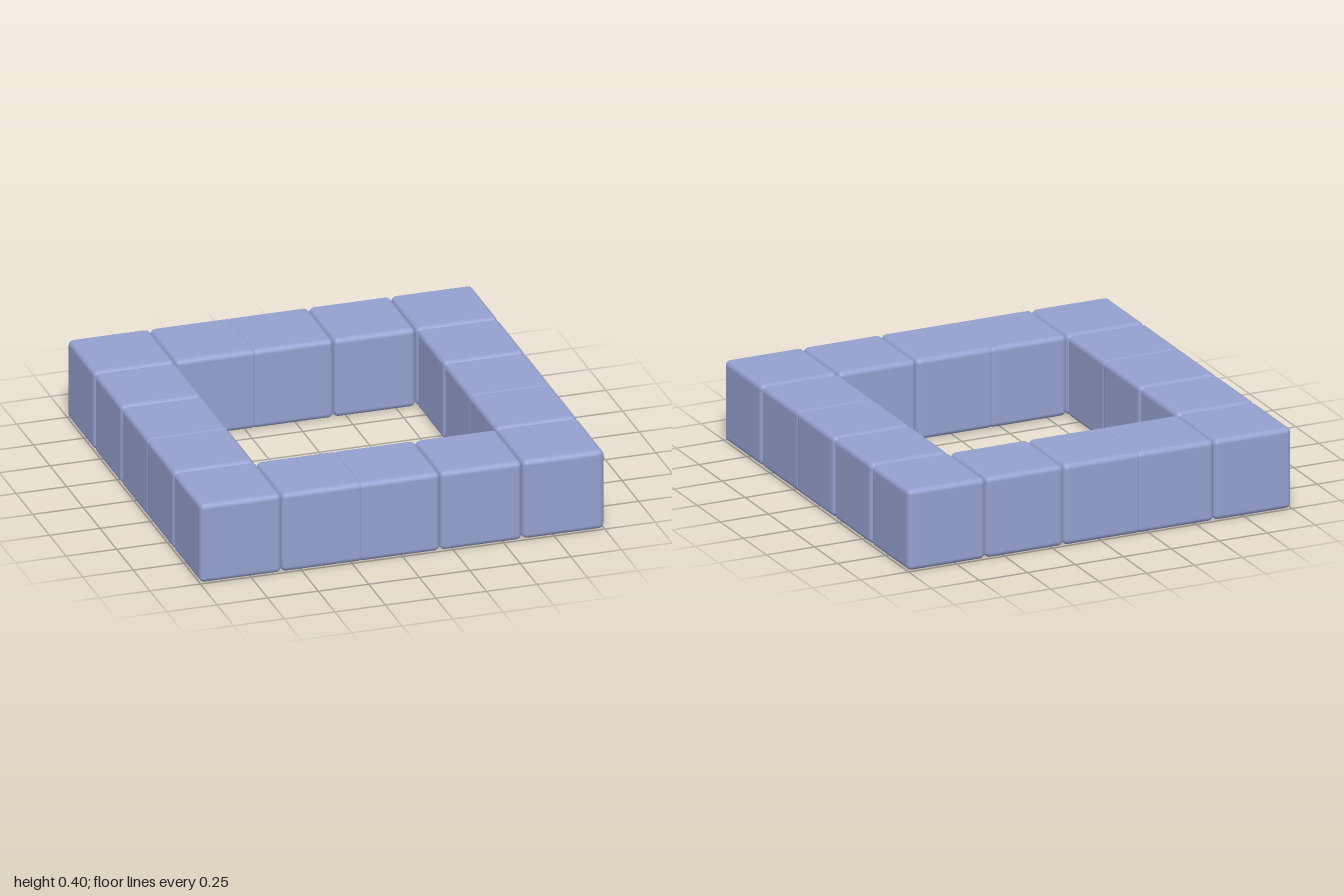
import * as THREE from 'three';
import { RoundedBoxGeometry } from 'three/addons/geometries/RoundedBoxGeometry.js';

export function createModel() {
  const model = new THREE.Group();
  model.name = 'squareBlockRing';

  const size = 0.404;
  const geometry = new RoundedBoxGeometry(size, size, size, 4, 0.026);
  const material = new THREE.MeshStandardMaterial({ color: 0x95a0d0 });

  // Block centres along a side; the middle block slightly overlaps one neighbour
  const xs = [-0.798, -0.394, -0.014, 0.391, 0.798];
  const zs = [-0.798, -0.391, 0.014, 0.394, 0.798];

  // Sixteen blocks around the border of a five by five grid
  xs.forEach((x, i) => zs.forEach((z, j) => {
    const sideX = i === 0 || i === 4;
    const sideZ = j === 0 || j === 4;
    if (!sideX && !sideZ) return;
    const block = new THREE.Mesh(geometry, material);
    block.name = sideX && sideZ ? 'cornerBlock' : 'sideBlock';
    block.position.set(x, size / 2, z);
    model.add(block);
  }));

  return model;
}
